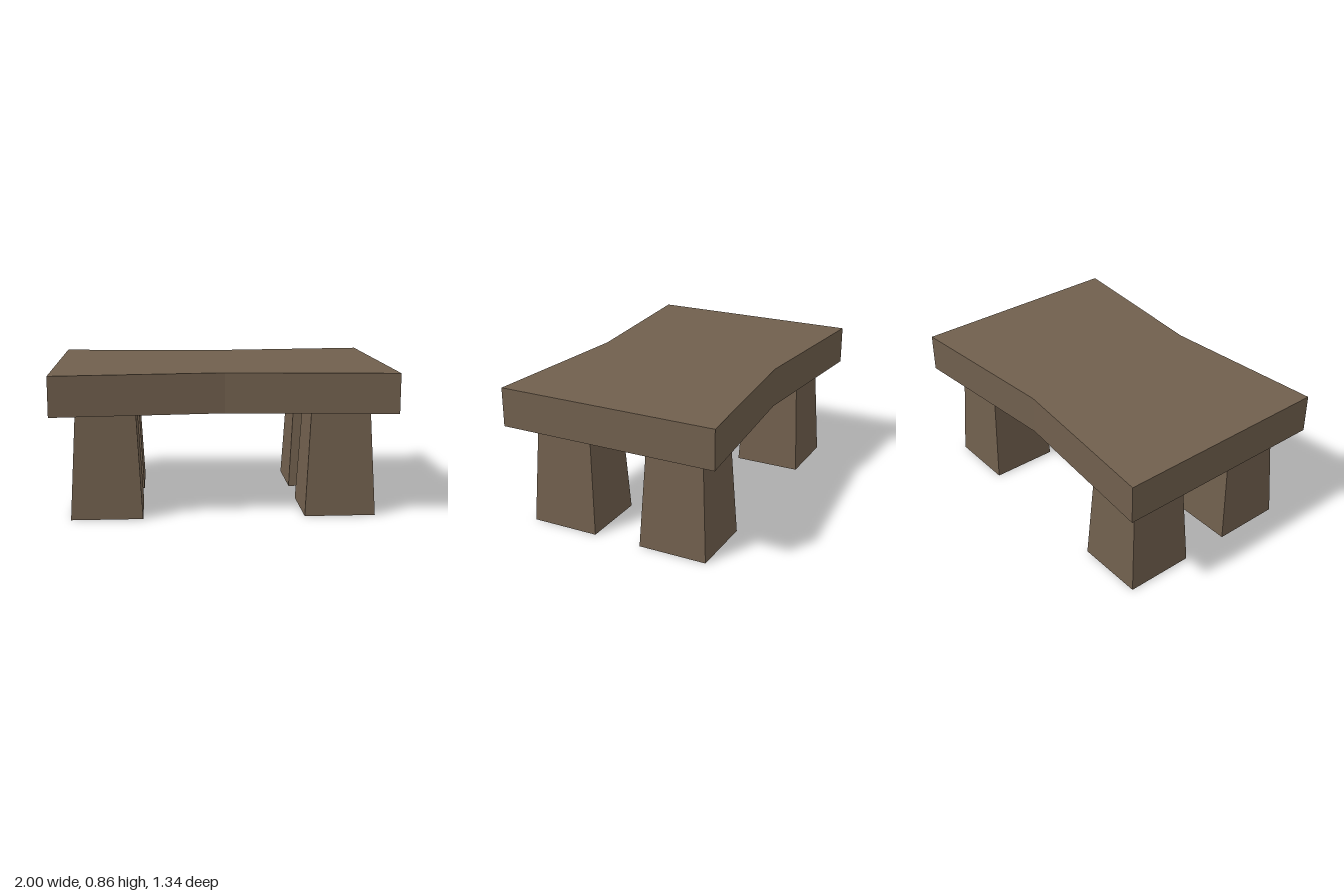
import * as THREE from 'three';

const LEG_HEIGHT = 0.627;
const TOP_THICKNESS = 0.235;

export function createModel() {
  const model = new THREE.Group();
  model.name = 'table';
  const wood = new THREE.MeshStandardMaterial({ color: 0x705f4d });
  wood.name = 'brown wood';
  wood.flatShading = true;

  // Slab with a shallow waist on the front and back edges
  const outline = new THREE.Shape([
    [-1, -0.67], [0, -0.584], [1, -0.67],
    [1, 0.67], [0, 0.584], [-1, 0.67],
  ].map(([x, z]) => new THREE.Vector2(x, z)));
  const slab = new THREE.ExtrudeGeometry(outline, { depth: TOP_THICKNESS, bevelEnabled: false });
  slab.rotateX(-Math.PI / 2);
  const tableTop = new THREE.Mesh(slab, wood);
  tableTop.name = 'tableTop';
  tableTop.position.y = LEG_HEIGHT;
  model.add(tableTop);

  // Four square legs, narrowing upwards
  const leg = new THREE.CylinderGeometry(0.175 * Math.SQRT2, 0.21 * Math.SQRT2, LEG_HEIGHT, 4);
  leg.rotateY(Math.PI / 4);
  leg.translate(0, LEG_HEIGHT / 2, 0);
  for (const [side, x] of [['Left', 0.686], ['Right', -0.688]]) {
    for (const [end, z] of [['front', 0.357], ['back', -0.36]]) {
      const mesh = new THREE.Mesh(leg, wood);
      mesh.name = `${end}${side}Leg`;
      mesh.position.set(x, 0, z);
      model.add(mesh);
    }
  }
  return model;
}
